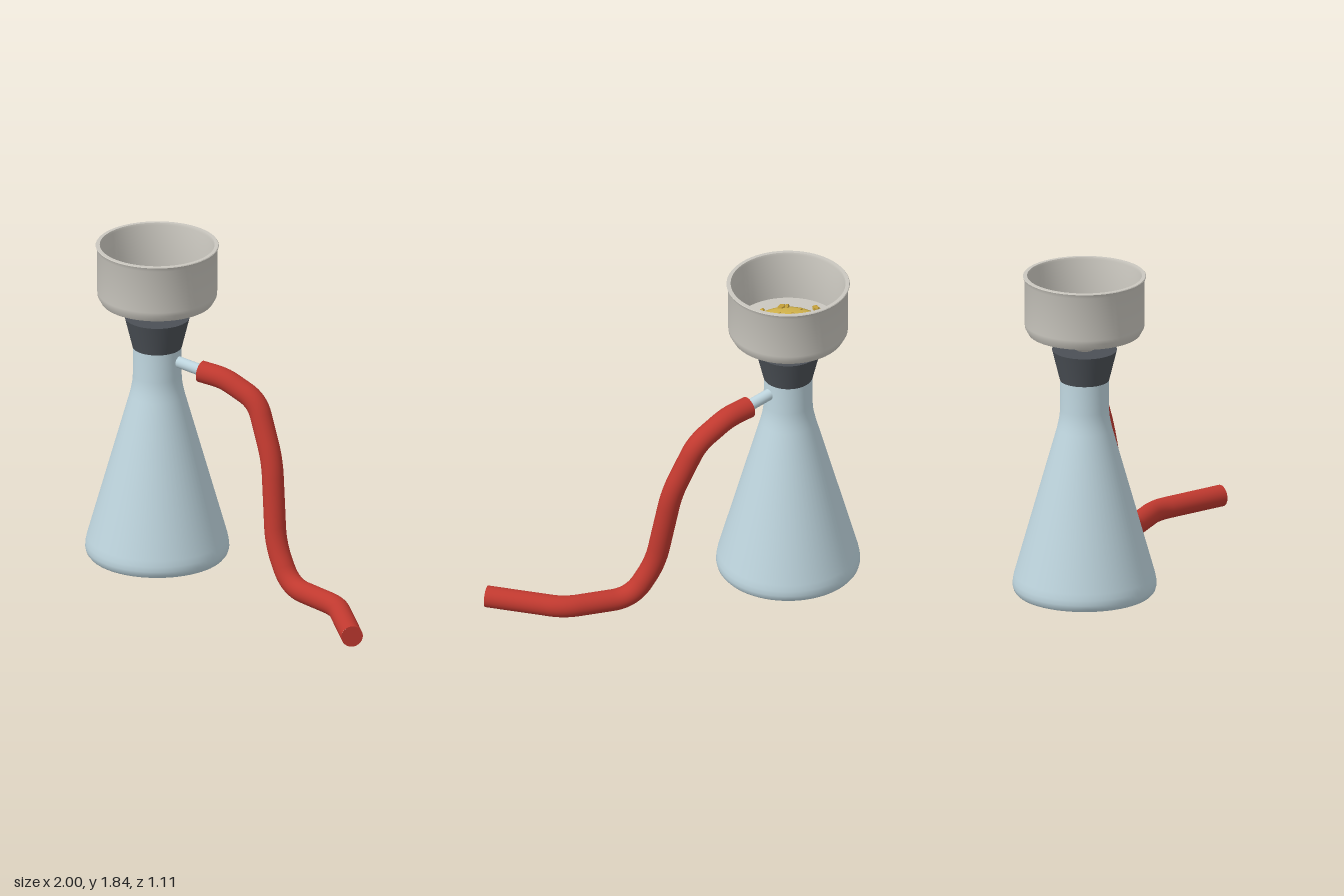
import * as THREE from 'three';
import { toCreasedNormals } from 'three/addons/utils/BufferGeometryUtils.js';

const material = (name, color) => {
  const m = new THREE.MeshStandardMaterial({ color });
  m.name = name;
  return m;
};

export function createModel() {
  const glass = material('pale blue glass', 0xbfd6df);
  const porcelain = material('porcelain', 0xcac7bf);
  const rubber = material('dark rubber', 0x4b5056);
  const hose = material('red hose', 0xc0392f);
  const powder = material('yellow powder', 0xd6b64c);
  const crystal = material('gold crystal', 0xc4a03a);

  const model = new THREE.Group();
  const apparatus = new THREE.Group();
  apparatus.name = 'filterFlask';
  apparatus.position.set(-0.605, 0, -0.162);
  model.add(apparatus);

  const add = (parent, name, geometry, mat) => {
    const mesh = new THREE.Mesh(geometry, mat);
    mesh.name = name;
    parent.add(mesh);
    return mesh;
  };
  // Profiles run from the axis at the bottom, outward and up
  const lathe = (points, crease = 0.45) => toCreasedNormals(
    new THREE.LatheGeometry(points.map(([r, y]) => new THREE.Vector2(r, y)), 64), crease);

  // Conical flask with rounded foot and soft shoulder
  add(apparatus, 'flaskBody', lathe([
    [0, 0.015], [0.355, 0.015], [0.376, 0.022], [0.389, 0.038], [0.395, 0.062], [0.393, 0.09],
    [0.386, 0.125], [0.152, 0.96], [0.143, 1.0], [0.137, 1.035], [0.134, 1.075],
    [0.133, 1.28], [0, 1.28]]), glass);

  // Tapered stopper
  add(apparatus, 'stopper', lathe([[0, 1.24], [0.135, 1.24], [0.178, 1.415], [0, 1.415]]), rubber);

  // Funnel: outside up to the flared rim, then down the inner wall
  add(apparatus, 'funnel', lathe([
    [0, 1.39], [0.045, 1.39], [0.048, 1.415], [0.1, 1.465], [0.308, 1.513], [0.327, 1.548], [0.329, 1.57],
    [0.329, 1.815], [0.338, 1.838], [0.335, 1.842], [0.315, 1.842], [0.311, 1.83],
    [0.311, 1.535], [0, 1.535]]), porcelain);
  add(apparatus, 'filterPlate', lathe([[0, 1.53], [0.3, 1.53], [0.3, 1.56], [0, 1.56]]), porcelain);

  // Low mound of powder with scattered crystals
  add(apparatus, 'powderMound', lathe([
    [0, 1.555], [0.203, 1.555], [0.2, 1.565], [0.17, 1.578], [0.1, 1.59], [0, 1.595]], 0.9), powder);
  const crystals = new THREE.Group();
  crystals.name = 'crystals';
  apparatus.add(crystals);
  // x, z, size
  [
    [0.125, -0.183, 0.026], [-0.18, -0.133, 0.015], [-0.195, -0.063, 0.016], [-0.222, 0.037, 0.025],
    [0.203, -0.095, 0.016], [0.192, -0.058, 0.02], [0.2, 0.002, 0.017], [0.12, 0.188, 0.02],
    [0.035, 0.192, 0.02], [-0.075, 0.16, 0.024], [-0.1, 0.148, 0.018], [-0.125, -0.038, 0.022],
    [0.065, -0.145, 0.012], [0.075, -0.08, 0.012], [0.135, -0.125, 0.012], [-0.075, 0.055, 0.012],
    [-0.145, 0.08, 0.012], [0.145, 0.1, 0.013], [-0.02, 0.105, 0.01],
  ].forEach(([x, z, size], i) => {
    const r = Math.hypot(x, z);
    const piece = add(crystals, 'crystal', toCreasedNormals(new THREE.DodecahedronGeometry(size), 0.1), crystal);
    piece.position.set(x, r > 0.2 ? 1.573 : 1.592 - r * r * 0.5, z);
    piece.rotation.set(i * 1.3, i * 2.1, i * 0.7);
    piece.scale.set(1.15, 0.8, 0.85);
  });

  // Side arm sloping down into the hose
  const arm = add(apparatus, 'sideArm', new THREE.CylinderGeometry(0.032, 0.032, 0.26, 32), glass);
  arm.position.set(0.205, 1.16, 0);
  arm.rotation.z = -Math.PI / 2 - 0.16;

  // Hose: straight runs joined by rounded bends
  const hoseGroup = new THREE.Group();
  hoseGroup.name = 'hose';
  model.add(hoseGroup);
  const corners = [
    [-0.335, 1.143, -0.162], [-0.19, 1.13, -0.162], [0.015, 1.035, -0.158], [0.14, 0.73, -0.095],
    [0.2, 0.27, -0.025], [0.32, 0.062, 0.03], [0.68, 0.062, 0.165], [0.952, 0.062, 0.512],
  ].map(p => new THREE.Vector3(...p));
  const bends = [0, 0.06, 0.08, 0.09, 0.1, 0.11, 0.08, 0];
  const path = new THREE.CurvePath();
  let last = corners[0];
  for (let i = 1; i < corners.length - 1; i++) {
    const toward = j => corners[j].clone().sub(corners[i]).setLength(bends[i]).add(corners[i]);
    const start = toward(i - 1), end = toward(i + 1);
    path.add(new THREE.LineCurve3(last, start));
    path.add(new THREE.QuadraticBezierCurve3(start, corners[i], end));
    last = end;
  }
  path.add(new THREE.LineCurve3(last, corners[7]));
  add(hoseGroup, 'hoseTube', new THREE.TubeGeometry(path, 160, 0.06, 32), hose);

  // Flat hose ends
  [[0, 1], [7, 6]].forEach(([at, inner]) => {
    const cap = add(hoseGroup, 'hoseEnd', new THREE.CircleGeometry(0.06, 32), hose);
    cap.position.copy(corners[at]);
    cap.lookAt(corners[at].clone().multiplyScalar(2).sub(corners[inner]));
  });

  return model;
}
